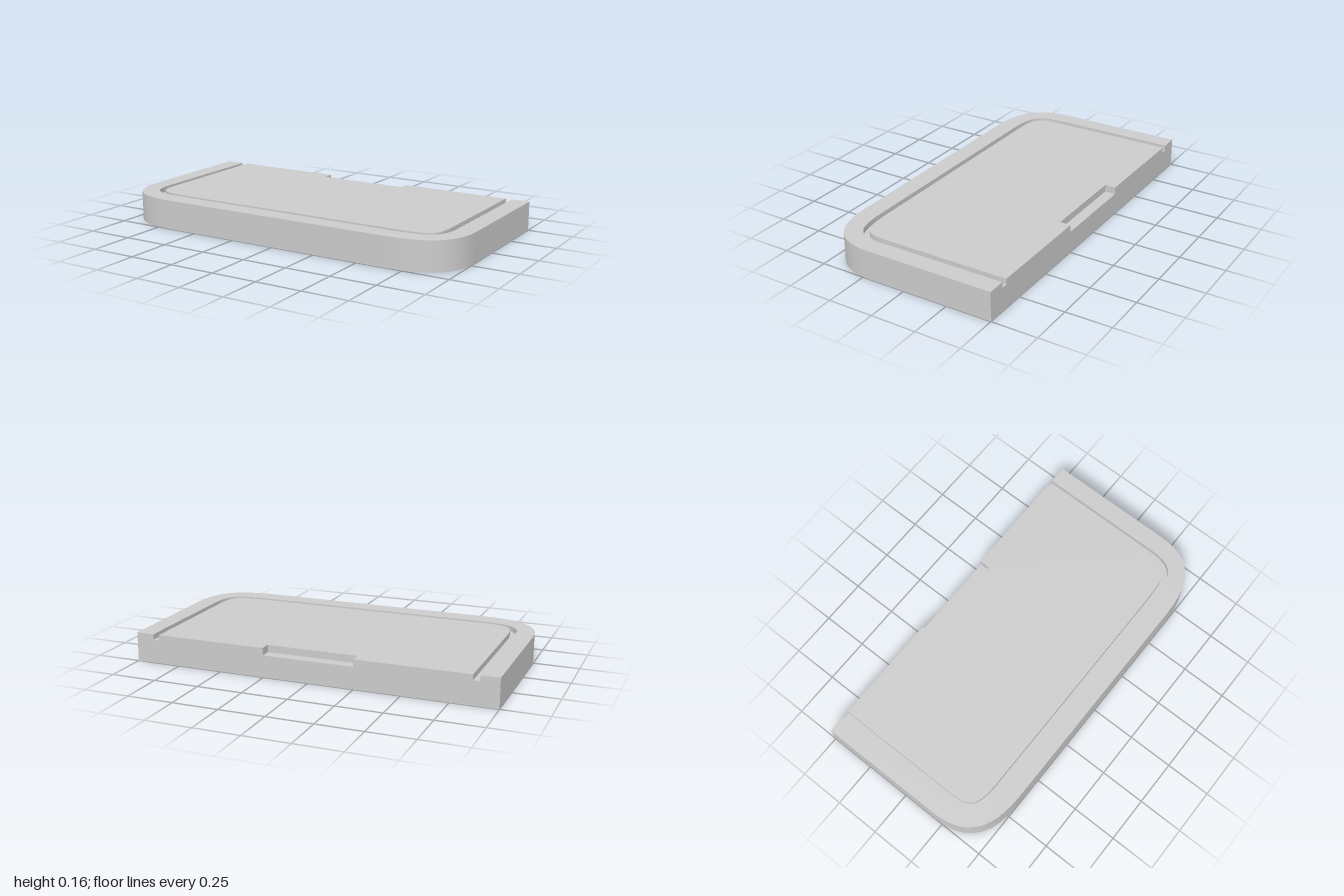
import * as THREE from 'three';

const H = 0.16, BACK = -0.5, GROOVE_Y = 0.13, NOTCH_Y = 0.12, NOTCH_X = 0.25, NOTCH_Z = -0.44;
const material = new THREE.MeshStandardMaterial({ color: 0xcccccc, side: THREE.DoubleSide });

// U-shaped plan line: back left, round the front corners, back right, as [x, z]
function outline(x, front, xStart, zStart, pull) {
  const v = (a, b) => new THREE.Vector2(a, b);
  const corner = new THREE.CubicBezierCurve(
    v(x, zStart), v(x, zStart + (front - zStart) * pull),
    v(xStart + (x - xStart) * pull, front), v(xStart, front));
  const half = [[x, BACK], ...corner.getPoints(12).map(p => [p.x, p.y])];
  return [...half, ...half.slice().reverse().map(([a, b]) => [-a, b])];
}

// horizontal face filling a plan line, facing up
function flat(points, y) {
  const shape = new THREE.Shape(points.map(([x, z]) => new THREE.Vector2(x, -z)));
  return new THREE.ShapeGeometry(shape).rotateX(-Math.PI / 2).translate(0, y, 0);
}

// vertical strip standing on a plan line
function wall(points, y0, y1) {
  const positions = [], index = [];
  points.forEach(([x, z], i) => {
    positions.push(x, y0, z, x, y1, z);
    if (i) {
      const a = 2 * i - 2;
      index.push(a, a + 3, a + 2, a, a + 1, a + 3);
    }
  });
  const g = new THREE.BufferGeometry();
  g.setAttribute('position', new THREE.Float32BufferAttribute(positions, 3));
  g.setIndex(index);
  g.computeVertexNormals();
  return g;
}

export function createModel() {
  const group = new THREE.Group();
  const add = (name, geometry) => {
    const mesh = new THREE.Mesh(geometry, material);
    mesh.name = name;
    group.add(mesh);
  };

  const outer = outline(1, 0.5, 0.65, 0.2, 0.69);
  const grooveOuter = outline(0.9, 0.395, 0.65, 0.2, 0.8);
  const grooveInner = outline(0.865, 0.365, 0.65, 0.2, 0.85);
  const reversed = line => line.slice().reverse();

  // hollow body, open underneath
  add('outerWall', wall(outer, 0, H));
  add('rim', flat([...outer, ...reversed(grooveOuter)], H));

  // groove running round the deck and out through the back
  add('grooveFloor', flat([...grooveOuter, ...reversed(grooveInner)], GROOVE_Y));
  add('grooveOuterSide', wall(reversed(grooveOuter), GROOVE_Y, H));
  add('grooveInnerSide', wall(grooveInner, GROOVE_Y, H));

  // deck with a notch in its back edge
  const notch = [[-NOTCH_X, BACK], [-NOTCH_X, NOTCH_Z], [NOTCH_X, NOTCH_Z], [NOTCH_X, BACK]];
  add('deck', flat([...grooveInner, ...notch], H));
  add('notchFloor', flat(notch, NOTCH_Y));
  for (let i = 0; i < 3; i++) add('notchSide', wall([notch[i], notch[i + 1]], NOTCH_Y, H));

  // back wall, its top edge cut by the grooves and the notch
  const top = [[1, H], [0.9, H], [0.9, GROOVE_Y], [0.865, GROOVE_Y], [0.865, H],
    [NOTCH_X, H], [NOTCH_X, NOTCH_Y]];
  const edge = [[1, 0], ...top, ...reversed(top).map(([x, y]) => [-x, y]), [-1, 0]];
  const backShape = new THREE.Shape(edge.map(([x, y]) => new THREE.Vector2(x, y)));
  add('backWall', new THREE.ShapeGeometry(backShape).rotateY(Math.PI).translate(0, 0, BACK));

  return group;
}
